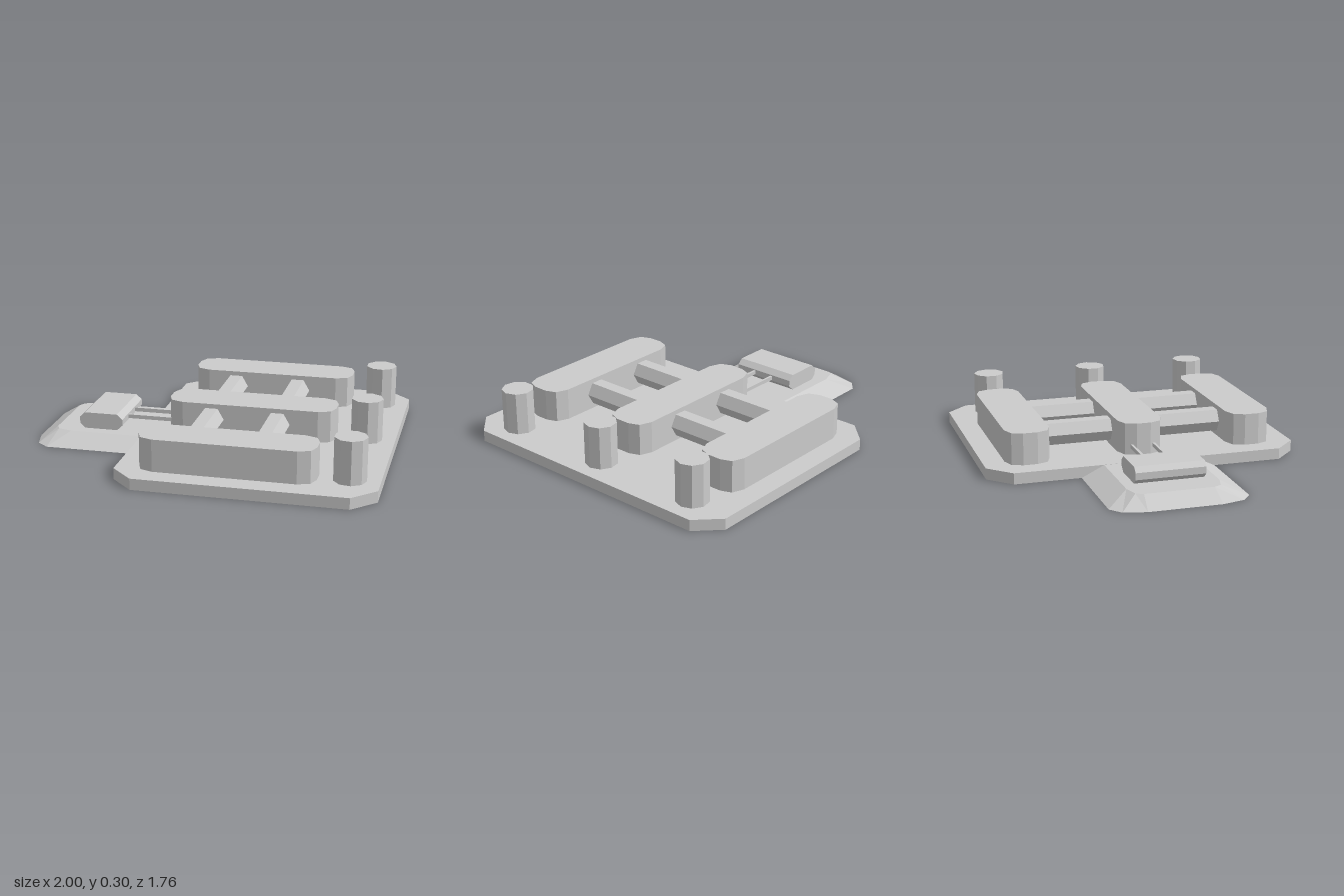
import * as THREE from 'three';

const material = new THREE.MeshStandardMaterial({ color: 0xcccccc, flatShading: true });

export function createModel() {
  const model = new THREE.Group();

  function add(name, geometry, x = 0, y = 0, z = 0) {
    const mesh = new THREE.Mesh(geometry, material);
    mesh.name = name;
    mesh.position.set(x, y, z);
    model.add(mesh);
    return mesh;
  }

  // Upright slab from an outline given as [x, z]
  function slab(outline, height) {
    const shape = new THREE.Shape(outline.map(([x, z]) => new THREE.Vector2(x, -z)));
    return new THREE.ExtrudeGeometry(shape, { depth: height, bevelEnabled: false }).rotateX(-Math.PI / 2);
  }

  // Completes a half outline by mirroring it in z
  const mirrorZ = (half) => [...half, ...half.map(([x, z]) => [x, -z]).reverse()];

  // Base plate with cut corners
  add('basePlate', slab(mirrorZ([[-0.39, 0.755], [-0.265, 0.88], [0.875, 0.88], [1, 0.755]]), 0.062));

  // Sloped tongue: a wide lower ring joined to a narrower upper ring
  const lower = mirrorZ([[-0.39, 0.378], [-0.905, 0.378], [-0.97, 0.325], [-1, 0.2]]);
  const upper = mirrorZ([[-0.39, 0.253], [-0.8, 0.253], [-0.88, 0.23], [-0.9, 0.19]]);
  const n = lower.length;
  const points = [...lower.map(([x, z]) => [x, 0, z]), ...upper.map(([x, z]) => [x, 0.061, z])];
  const faces = [];
  for (let i = 0; i < n; i++) {
    const j = (i + 1) % n;
    faces.push(i, n + j, j, i, n + i, n + j);
    if (i > 0 && i < n - 1) faces.push(0, i, i + 1, n, n + i + 1, n + i);
  }
  // Rings run clockwise from above, so every face is turned to point outward
  for (let i = 0; i < faces.length; i += 3) {
    const [a, b, c] = [0, 1, 2].map((k) => new THREE.Vector3(...points[faces[i + k]]));
    const normal = b.clone().sub(a).cross(c.clone().sub(a));
    const outward = a.add(b).add(c).divideScalar(3).sub(new THREE.Vector3(-0.65, 0.03, 0));
    if (normal.dot(outward) < 0) [faces[i + 1], faces[i + 2]] = [faces[i + 2], faces[i + 1]];
  }
  const tongue = new THREE.BufferGeometry();
  tongue.setAttribute('position', new THREE.Float32BufferAttribute(points.flat(), 3));
  tongue.setIndex(faces);
  tongue.computeVertexNormals();
  add('tongue', tongue, 0, 0, -0.007);

  // Three rows, each a long rounded block and a nine-sided post
  const blockOutline = mirrorZ([
    [-0.272, 0.04], [-0.248, 0.1], [-0.18, 0.125], [0.585, 0.125], [0.652, 0.1], [0.675, 0.04],
  ]);
  for (const z of [-0.635, 0, 0.635]) {
    add('longBlock', slab(blockOutline, 0.18), 0, 0.06, z);
    add('post', new THREE.CylinderGeometry(0.088, 0.088, 0.24, 9, 1, false, Math.PI / 2), 0.84, 0.18, z);
  }

  // Two hexagonal bars running through the blocks
  for (const x of [-0.015, 0.358]) {
    const bar = new THREE.CylinderGeometry(0.071, 0.071, 1.06, 6, 1, false, Math.PI / 2);
    add('crossBar', bar.rotateX(Math.PI / 2), x, 0.153, 0);
  }

  // Handle with bevelled long edges
  const handleShape = new THREE.Shape([
    [-0.766, 0.09], [-0.737, 0.063], [-0.548, 0.063], [-0.516, 0.093],
    [-0.516, 0.127], [-0.548, 0.155], [-0.737, 0.155], [-0.766, 0.128],
  ].map(([x, y]) => new THREE.Vector2(x, y)));
  add('handle', new THREE.ExtrudeGeometry(handleShape, { depth: 0.385, bevelEnabled: false }), 0, 0, -0.2);

  // Thin rods joining the handle to the middle block
  for (const z of [-0.065, 0.06]) {
    add('handleRod', new THREE.BoxGeometry(0.28, 0.022, 0.014), -0.39, 0.11, z);
  }

  return model;
}
